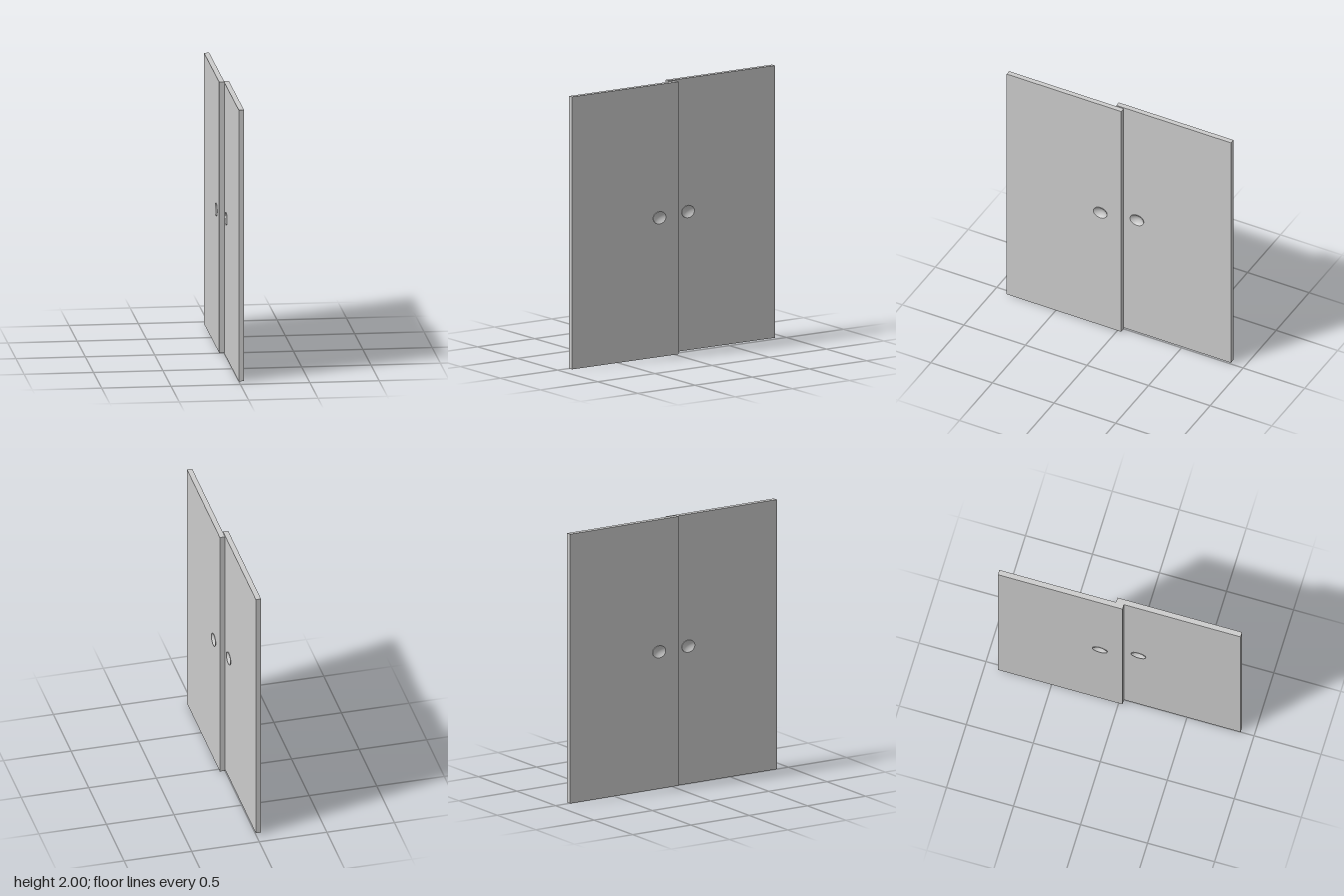
import * as THREE from 'three';

const T = 0.038;               // panel thickness
const RY = 0.045, RZ = 0.055;  // oval finger pull radii
const LIP = 0.005;             // how far a pull stands proud of its panel
const DEPTH = 0.016;           // depth of the hollow below the panel face

// Slab in the z-y plane with an oval hole, from x0 to x0 + T
function panel(name, x0, z0, z1, y0, y1, hz, hy, material) {
  const shape = new THREE.Shape();
  shape.moveTo(z0, y0).lineTo(z1, y0).lineTo(z1, y1).lineTo(z0, y1).closePath();
  const hole = new THREE.Path();
  hole.absellipse(hz, hy, RZ - 0.001, RY - 0.001, 0, Math.PI * 2, true);
  shape.holes.push(hole);
  const geo = new THREE.ExtrudeGeometry(shape, { depth: T, bevelEnabled: false, curveSegments: 32 });
  geo.rotateY(-Math.PI / 2).translate(x0 + T, 0, 0);
  const mesh = new THREE.Mesh(geo, material);
  mesh.name = name;
  return mesh;
}

// Oval dished finger pull; side is +1 or -1 for the face it opens on
function fingerPull(side, x, y, z, material) {
  const group = new THREE.Group();
  group.name = 'fingerPull';
  const bowl = [];
  for (let i = 0; i <= 10; i++) {
    const r = 1 - i / 10;
    bowl.push(new THREE.Vector2(r, LIP - (LIP + DEPTH) * (1 - r * r)));
  }
  const rim = [new THREE.Vector2(1, -0.004), new THREE.Vector2(1, LIP)];
  for (const [name, profile] of [['pullRim', rim], ['pullBowl', bowl]]) {
    const geo = new THREE.LatheGeometry(profile, 48);
    geo.scale(RY, 1, RZ).rotateZ(-side * Math.PI / 2);
    const mesh = new THREE.Mesh(geo, material);
    mesh.name = name;
    group.add(mesh);
  }
  group.position.set(x, y, z);
  return group;
}

export function createModel() {
  const model = new THREE.Group();
  model.name = 'slidingDoors';
  const grey = new THREE.MeshStandardMaterial({ color: 0xcccccc, side: THREE.DoubleSide });
  grey.name = 'doorGrey';

  // Two overlapping doors, each with a pull on both faces
  const doors = [
    { name: 'frontDoor', x: 0, z: [-0.03, 0.9], y: [0, 1.992], pull: [0.138, 1.018] },
    { name: 'rearDoor', x: -T - 0.001, z: [-0.9, 0.03], y: [0.01, 2], pull: [-0.138, 1.024] },
  ];
  for (const d of doors) {
    const door = new THREE.Group();
    door.name = d.name;
    const [pz, py] = d.pull;
    door.add(panel('doorPanel', d.x, ...d.z, ...d.y, pz, py, grey));
    door.add(fingerPull(1, d.x + T, py, pz, grey), fingerPull(-1, d.x, py, pz, grey));
    model.add(door);
  }
  return model;
}
